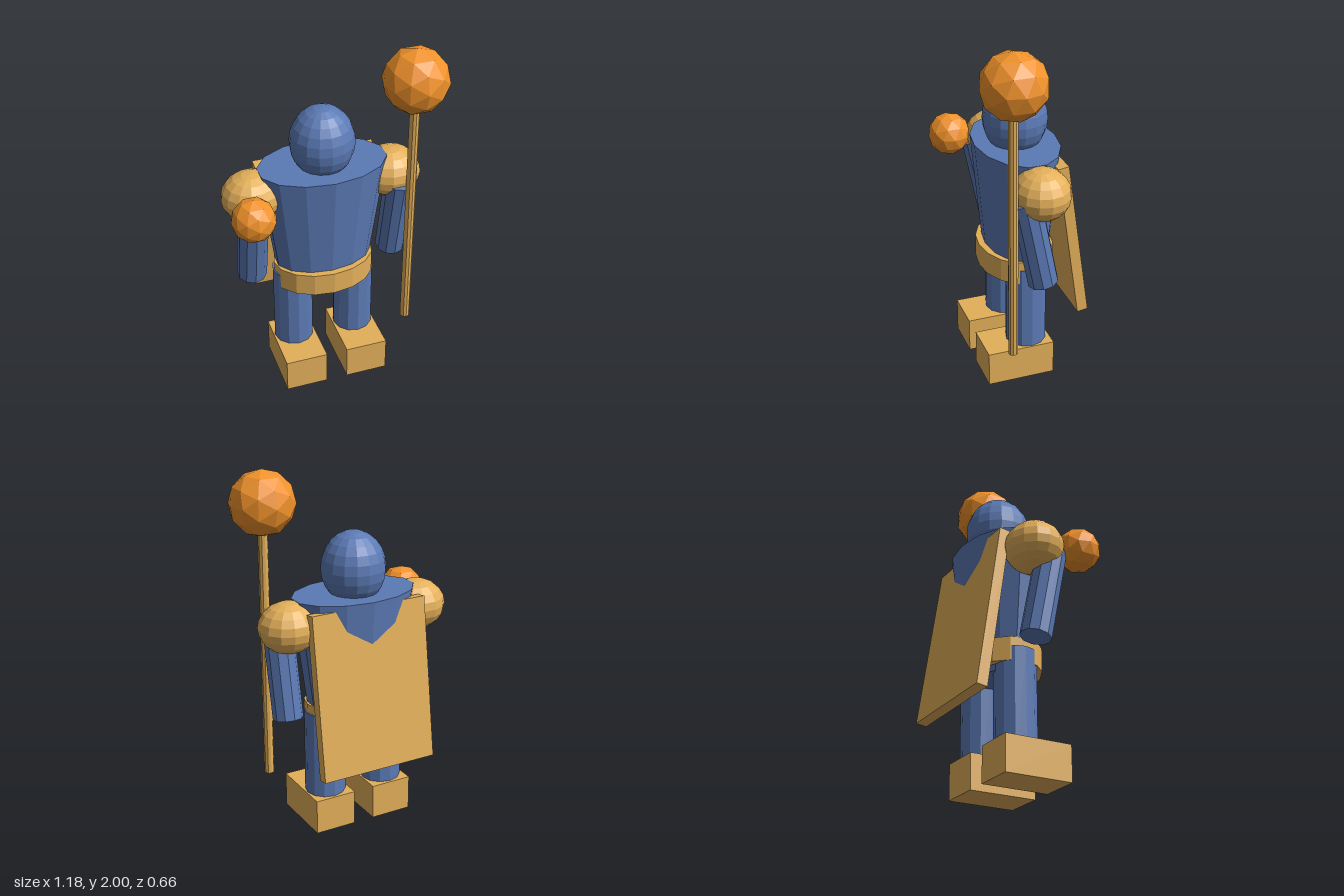
import * as THREE from 'three';

const material = (color) => new THREE.MeshStandardMaterial({ color, flatShading: true });

export function createModel() {
  const group = new THREE.Group();
  const blue = material(0x5b7ab5);
  const tan = material(0xe4b05a);
  const orange = material(0xf0922b);
  const cx = -0.03; // body centre line
  const cz = -0.025;

  const add = (name, geometry, mat, x, y, z, scale = [1, 1, 1], tilt = 0) => {
    const mesh = new THREE.Mesh(geometry, mat);
    mesh.name = name;
    mesh.position.set(x, y, z);
    mesh.scale.set(...scale);
    mesh.rotation.x = tilt;
    group.add(mesh);
    return mesh;
  };

  // Oval body that narrows to the waist, with belt and head
  add('torso', new THREE.CylinderGeometry(0.355, 0.25, 0.765, 14), blue, cx, 0.948, cz, [1, 1, 0.634]);
  add('belt', new THREE.CylinderGeometry(0.282, 0.282, 0.13, 16), tan, cx, 0.665, -0.02, [1, 1, 0.725]);
  add('head', new THREE.SphereGeometry(0.175, 16, 12), blue, cx, 1.46, cz, [1, 1.15, 1]);

  // Mirrored limbs
  for (const [side, s] of [['left', 1], ['right', -1]]) {
    add(side + 'Leg', new THREE.CylinderGeometry(0.112, 0.112, 0.675, 12), blue, cx + s * 0.178, 0.342, cz);
    add(side + 'Boot', new THREE.BoxGeometry(0.237, 0.197, 0.38), tan, cx + s * 0.178, 0.0985, 0.04);
    add(side + 'Shoulder', new THREE.SphereGeometry(0.155, 14, 10), tan,
      cx + s * 0.39, 1.195, -0.03, [1.06, 0.9, 1]);
    add(side + 'Arm', new THREE.CylinderGeometry(0.083, 0.083, 0.51, 10), blue,
      cx + s * 0.406, 0.933, 0.013, [1, 1, 1], 0.2);
  }

  // Cape slanting away from the back
  add('cape', new THREE.BoxGeometry(0.675, 0.9, 0.06), tan, -0.028, 0.847, -0.235, [1, 1, 1], 0.145);

  // Faceted orb on the right and orb-topped staff on the left
  add('rightOrb', new THREE.IcosahedronGeometry(0.119, 1), orange, -0.473, 1.215, 0.208);
  add('staff', new THREE.CylinderGeometry(0.027, 0.027, 1.45, 10), tan, 0.412, 1.015, 0.142);
  add('staffOrb', new THREE.IcosahedronGeometry(0.176, 1), orange, 0.412, 1.824, 0.138);

  return group;
}
